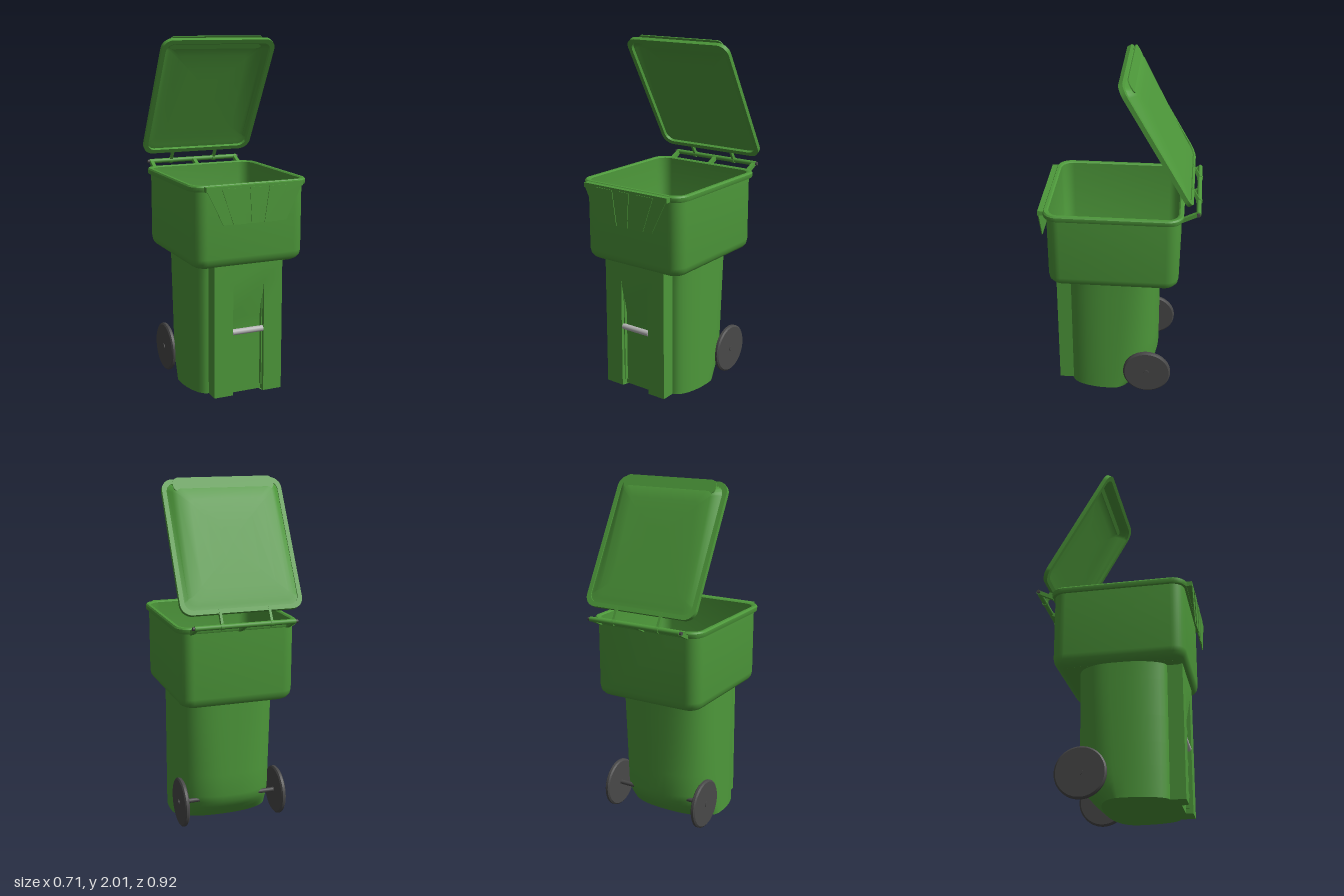
import * as THREE from 'three';
import { toCreasedNormals } from 'three/addons/utils/BufferGeometryUtils.js';

const green = new THREE.MeshStandardMaterial({ color: 0x4d983a, side: THREE.DoubleSide });
const dark = new THREE.MeshStandardMaterial({ color: 0x484848 });
const metal = new THREE.MeshStandardMaterial({ color: 0xb4b4b4 });

function add(parent, name, geometry, material = green, x = 0, y = 0, z = 0) {
  const mesh = new THREE.Mesh(geometry, material);
  mesh.name = name;
  mesh.position.set(x, y, z);
  parent.add(mesh);
  return mesh;
}

// Skin through rings of [x, y, z] points, with optional fan caps
function loft(rings, capStart, capEnd, crease = 0.6) {
  const n = rings[0].length, pos = rings.flat(2), idx = [];
  for (let i = 0; i < rings.length - 1; i++) {
    for (let j = 0; j < n; j++) {
      const k = (j + 1) % n, a = i * n + j, b = i * n + k;
      idx.push(a, b, b + n, a, b + n, a + n);
    }
  }
  const cap = (r, flip) => {
    const c = pos.length / 3;
    for (let d = 0; d < 3; d++) pos.push(rings[r].reduce((s, p) => s + p[d], 0) / n);
    for (let j = 0; j < n; j++) {
      const a = r * n + j, b = r * n + (j + 1) % n;
      idx.push(c, flip ? b : a, flip ? a : b);
    }
  };
  if (capStart) cap(0, true);
  if (capEnd) cap(rings.length - 1, false);
  const g = new THREE.BufferGeometry();
  g.setAttribute('position', new THREE.Float32BufferAttribute(pos, 3));
  g.setIndex(idx);
  return toCreasedNormals(g, crease);
}

// Rounded rectangle as [u, v] points
function roundRect(half, v0, v1, r, seg = 8) {
  const pts = [];
  for (let q = 0; q < 4; q++) {
    const cu = (q < 2 ? 1 : -1) * (half - r);
    const cv = q === 0 || q === 3 ? v1 - r : v0 + r;
    for (let s = 0; s <= seg; s++) {
      const a = (q + s / seg) * Math.PI / 2;
      pts.push([cu + r * Math.sin(a), cv + r * Math.cos(a)]);
    }
  }
  return pts;
}

function plate(outline, hole, depth) {
  const shape = new THREE.Shape(outline.map(p => new THREE.Vector2(...p)));
  if (hole) shape.holes.push(new THREE.Path(hole.map(p => new THREE.Vector2(...p))));
  return toCreasedNormals(new THREE.ExtrudeGeometry(shape, { depth, bevelEnabled: false }), 0.6);
}

// Horizontal section of the lower body: front panel with recess, curved sides, round back
function bodySection(y, inset = 0) {
  const t = Math.min(1, y / 0.17);
  const back = THREE.MathUtils.lerp(-0.1, -0.225, Math.sin(t * Math.PI / 2));
  const e = THREE.MathUtils.lerp(0.85, 0.6, Math.min(1, y / 0.76));
  const recess = 0.335 + 0.04 * THREE.MathUtils.clamp((y - 0.45) / 0.21, 0, 1);
  const half = [[0.095, recess], [0.096, 0.375], [0.21, 0.375]];
  for (let i = 0; i <= 8; i++) {
    const a = i / 8 * Math.PI / 2;
    half.push([0.21 + 0.087 * Math.sin(a), 0.07 + 0.22 * Math.cos(a)]);
  }
  for (let i = 1; i < 14; i++) {
    const a = i / 14 * Math.PI / 2;
    half.push([0.297 * Math.cos(a) ** e, 0.05 - (0.05 - back) * Math.sin(a) ** e]);
  }
  const all = [...half, [0, back], ...half.map(([x, z]) => [-x, z]).reverse()];
  const k = 1 - inset / 0.3;
  return all.map(([x, z]) => [x * k, y, 0.075 + (z - 0.075) * k]);
}

function tubRing(y, inset) {
  return roundRect(0.338 - inset, -0.344 + inset, 0.407 - inset, 0.075 - inset * 0.5)
    .map(([x, z]) => [x, y, z]);
}

function makeLid() {
  const lid = new THREE.Group();
  lid.name = 'lid';
  const L = 0.788;
  const outline = i => roundRect(0.352 - i, i, L - i, Math.max(0.02, 0.065 - i * 0.5));
  add(lid, 'lidFrame', plate(outline(0), outline(0.025), 0.025), green, 0, 0, -0.025);
  // Raised panel that deepens toward the free edge
  const rise = v => 0.04 * THREE.MathUtils.clamp(v / 0.6, 0, 1);
  const steps = [[0.022, 0], [0.035, 0.25], [0.05, 0.7], [0.075, 1], [0.14, 1], [0.22, 1], [0.3, 1]];
  add(lid, 'lidPanel', loft(steps.map(([i, h]) =>
    outline(i).map(([x, v]) => [x, v, -0.018 - h * rise(v)])), false, true, 0.8));
  // Grip lip along the free edge
  add(lid, 'lidLip', plate(roundRect(0.295, 0.70, 0.783, 0.035), null, 0.006), green, 0, 0, -0.056);
  lid.position.set(0, 1.305, -0.39);
  lid.rotation.x = Math.atan2(0.39, 0.685);
  return lid;
}

// Straight bar in the yz plane between two [y, z] points
function strut(parent, name, x, a, b, w, t) {
  const dy = b[0] - a[0], dz = b[1] - a[1];
  const m = add(parent, name, new THREE.BoxGeometry(w, Math.hypot(dy, dz), t), green,
    x, (a[0] + b[0]) / 2, (a[1] + b[1]) / 2);
  m.rotation.x = Math.atan2(dz, dy);
}

function rod(parent, name, r, length, material, y, z) {
  add(parent, name, new THREE.CylinderGeometry(r, r, length, 20).rotateZ(Math.PI / 2), material, 0, y, z);
}

export function createModel() {
  const bin = new THREE.Group();
  bin.name = 'wheeledBin';

  // Lower body, outside and inside
  const levels = [0, 0.02, 0.05, 0.09, 0.13, 0.17, 0.3, 0.45, 0.66, 0.77];
  add(bin, 'lowerBody', loft(levels.map(y => bodySection(y)), true, false));
  add(bin, 'lowerBodyInside', loft([0.775, 0.66, 0.45, 0.17, 0.09, 0.03].map(y => bodySection(y, 0.02)), false, true));
  rod(bin, 'liftBar', 0.017, 0.19, metal, 0.372, 0.358);

  // Wide upper tub: outer wall, then down the inner wall
  const wall = [[0.76, 0.06], [0.763, 0.04], [0.774, 0.02], [0.793, 0.006], [0.82, 0.001], [1.22, 0],
    [1.22, 0.012], [0.83, 0.014], [0.795, 0.025], [0.776, 0.06]];
  add(bin, 'tub', loft(wall.map(w => tubRing(...w))));
  const floor = plate(tubRing(0, 0.058).map(p => [p[0], -p[2]]),
    bodySection(0.76, 0.02).map(p => [p[0], -p[2]]), 0.016);
  add(bin, 'tubFloor', floor.rotateX(-Math.PI / 2), green, 0, 0.76, 0);

  // Rounded rim
  const rim = [[1.2, 0.012], [1.2, -0.014], [1.206, -0.017], [1.226, -0.017], [1.234, -0.011], [1.234, 0.004], [1.228, 0.012], [1.2, 0.012]];
  add(bin, 'rim', loft(rim.map(r => tubRing(...r))));

  // Hanging front flap with three raised tapering strips
  const taper = (x0, x1) => [[x0, 0], [x1, 0], [x1 * 0.655, -0.2], [x0 * 0.655, -0.2]];
  add(bin, 'flapShelf', new THREE.BoxGeometry(0.58, 0.028, 0.05), green, 0, 1.216, 0.428);
  add(bin, 'frontFlap', plate(taper(-0.29, 0.29), null, 0.005), green, 0, 1.218, 0.448);
  for (const [a, b] of [[-0.2, -0.085], [-0.033, 0.033], [0.085, 0.2]])
    add(bin, 'flapStrip', plate(taper(a, b), null, 0.004), green, 0, 1.217, 0.453);

  // Hinge: rod, sleeve, body brackets and lid arms
  rod(bin, 'hingeSleeve', 0.014, 0.58, green, 1.25, -0.441);
  rod(bin, 'hingePin', 0.01, 0.605, dark, 1.25, -0.441);
  for (const x of [-0.28, 0, 0.28])
    strut(bin, 'hingeBracket', x, [1.205, -0.35], [1.25, -0.441], 0.022, 0.022);
  for (const x of [-0.15, 0.135]) {
    strut(bin, 'lidArm', x, [1.25, -0.441], [1.335, -0.392], 0.014, 0.02);
    add(bin, 'armCollar', new THREE.CylinderGeometry(0.018, 0.018, 0.018, 16).rotateZ(Math.PI / 2), green, x, 1.25, -0.441);
  }
  bin.add(makeLid());

  // Wheels on a shared axle
  const axleY = 0.146, axleZ = -0.17;
  rod(bin, 'axle', 0.013, 0.58, dark, axleY, axleZ);
  const tread = [[0, -0.014], [0.134, -0.014], [0.143, -0.007], [0.143, 0.007], [0.134, 0.014], [0, 0.014]];
  const wheel = toCreasedNormals(new THREE.LatheGeometry(tread.map(p => new THREE.Vector2(...p)), 48), 0.5).rotateZ(Math.PI / 2);
  const hub = new THREE.CylinderGeometry(0.016, 0.016, 0.036, 16).rotateZ(Math.PI / 2);
  for (const side of [1, -1]) {
    add(bin, side > 0 ? 'leftWheel' : 'rightWheel', wheel, dark, side * 0.297, axleY, axleZ);
    add(bin, 'wheelHub', hub, dark, side * 0.298, axleY, axleZ);
  }
  return bin;
}
